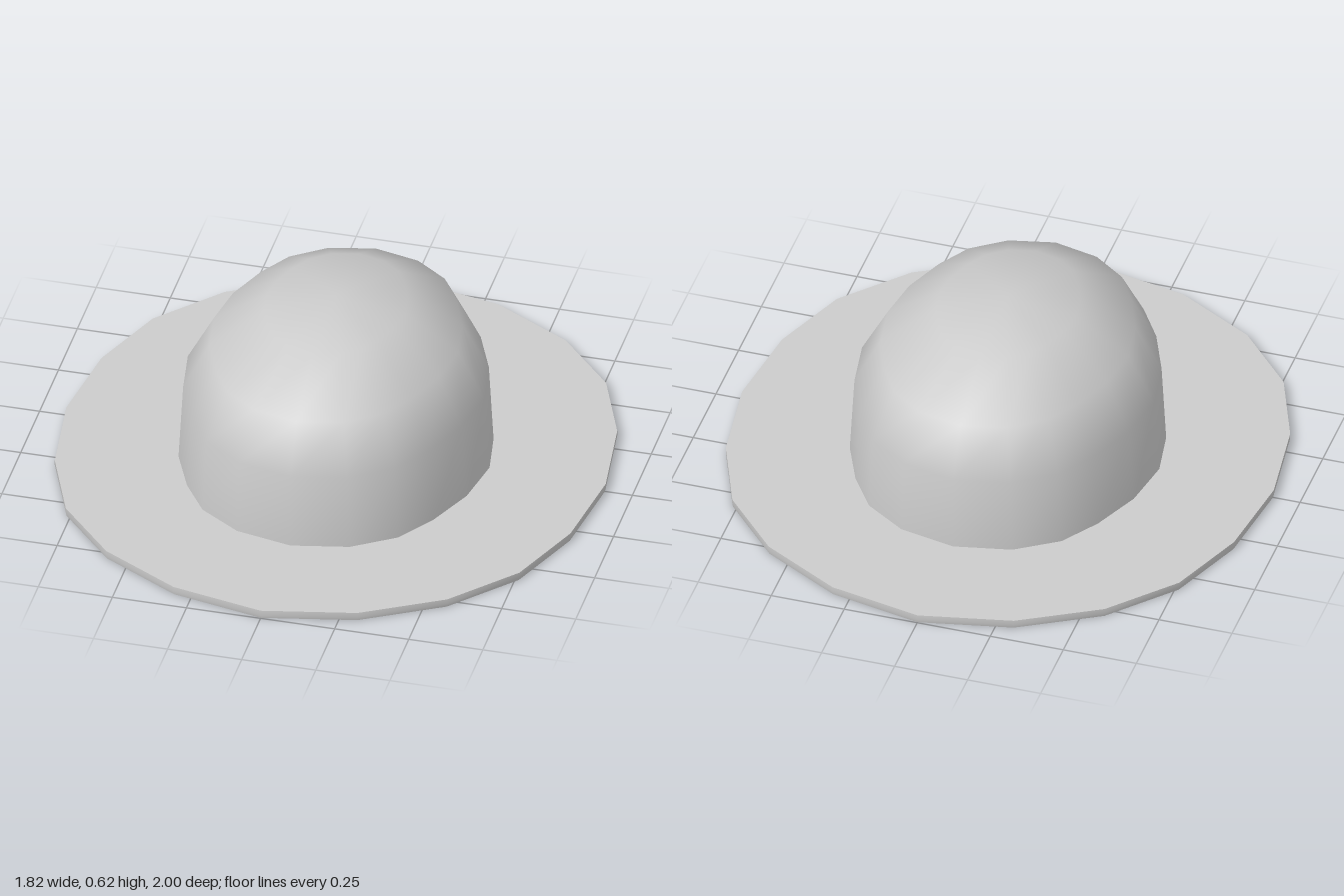
import * as THREE from 'three';
import { toCreasedNormals } from 'three/addons/utils/BufferGeometryUtils.js';

// Mirror a quarter outline ([x, z] from front to side) into a closed 20-sided loop
function mirrorOutline(quarter) {
  const half = [...quarter, ...quarter.slice(0, -1).reverse().map(([x, z]) => [x, -z])];
  return [...half, ...half.slice(1, -1).reverse().map(([x, z]) => [-x, z])];
}

// Skin a list of rings; each ring is { outline, y, sx, sz }
function loft(rings) {
  const positions = [], index = [], n = rings[0].outline.length;
  for (const { outline, y, sx = 1, sz = 1 } of rings)
    for (const [x, z] of outline) positions.push(x * sx, y, z * sz);
  for (let r = 0; r < rings.length - 1; r++)
    for (let i = 0; i < n; i++) {
      const a = r * n + i, b = r * n + (i + 1) % n;
      index.push(a, b, b + n);
      if (rings[r + 1].sx !== 0) index.push(a, b + n, a + n);
    }
  return { positions, index };
}

function toGeometry({ positions, index }) {
  const g = new THREE.BufferGeometry();
  g.setAttribute('position', new THREE.Float32BufferAttribute(positions, 3));
  g.setIndex(index);
  g.computeVertexNormals();
  return g;
}

export function createModel() {
  const hat = new THREE.Group();
  hat.name = 'hat';
  const material = new THREE.MeshStandardMaterial({ color: 0xcccccc, side: THREE.DoubleSide });

  const brimOutline = mirrorOutline([[0, 1], [0.31, 0.935], [0.575, 0.785], [0.765, 0.575], [0.87, 0.31], [0.91, 0]]);
  const crownOutline = mirrorOutline([[0, 0.605], [0.19, 0.565], [0.33, 0.472], [0.415, 0.345], [0.487, 0.18], [0.518, 0]]);

  // Crown: open at the bottom, upright wall rounding into a dome
  const crown = loft([
    { outline: crownOutline, y: 0 },
    { outline: crownOutline, y: 0.3, sx: 0.965 },
    { outline: crownOutline, y: 0.465, sx: 0.795, sz: 0.868 },
    { outline: crownOutline, y: 0.588, sx: 0.45, sz: 0.502 },
  ]);
  // Close the dome with a fan to a single apex
  const n = crownOutline.length, apex = crown.positions.length / 3;
  crown.positions.push(0, 0.62, 0);
  for (let i = 0; i < n; i++) crown.index.push(3 * n + i, 3 * n + (i + 1) % n, apex);
  const crownMesh = new THREE.Mesh(toGeometry(crown), material);
  crownMesh.name = 'crown';
  hat.add(crownMesh);

  // Brim: thin flat ring around the crown
  const brim = loft([
    { outline: crownOutline, y: 0 },
    { outline: brimOutline, y: 0, sx: 0.997, sz: 0.997 },
    { outline: brimOutline, y: 0.012 },
    { outline: brimOutline, y: 0.03 },
    { outline: crownOutline, y: 0.03 },
  ]);
  const brimMesh = new THREE.Mesh(toCreasedNormals(toGeometry(brim), 0.6), material);
  brimMesh.name = 'brim';
  hat.add(brimMesh);

  return hat;
}
